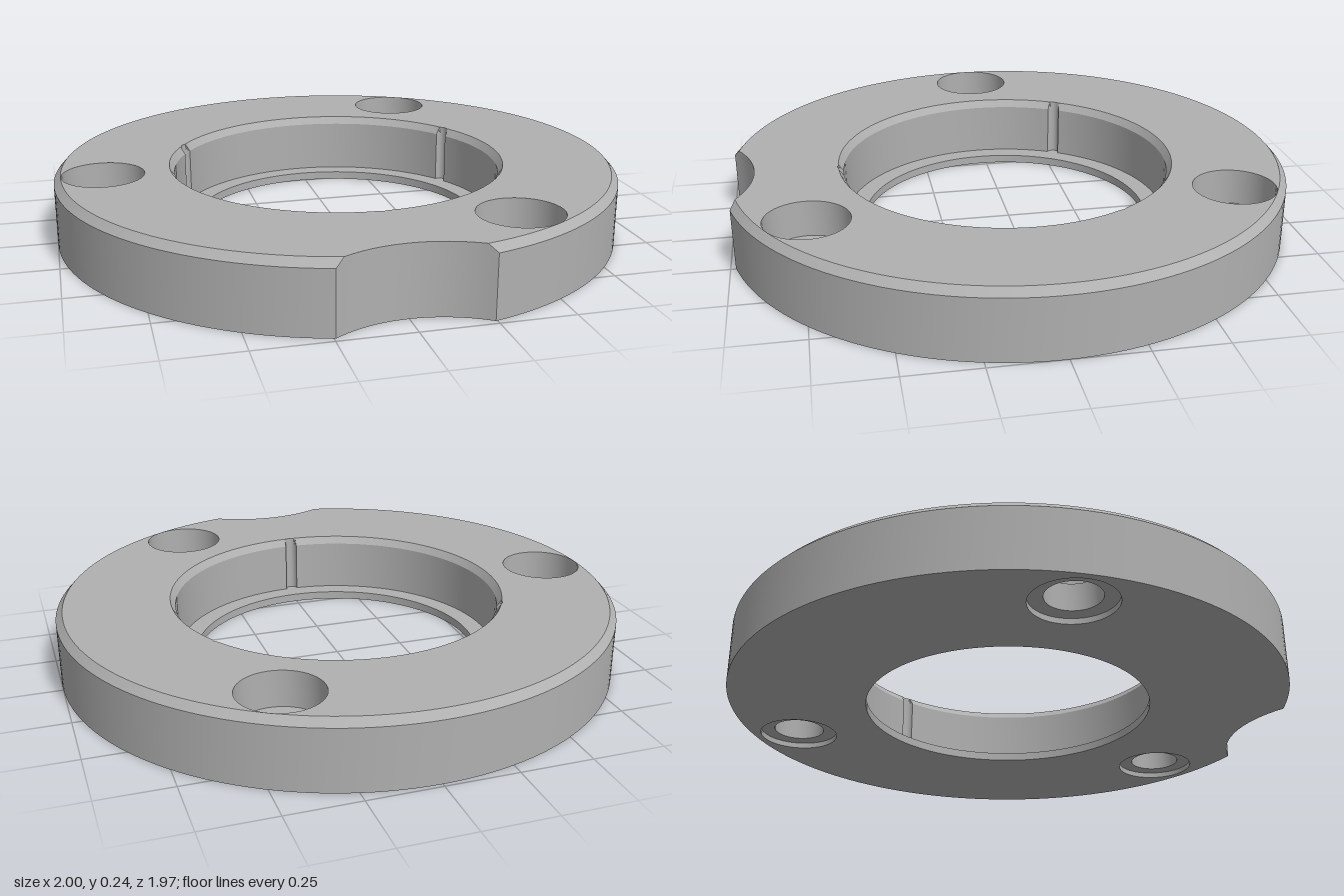
import * as THREE from 'three';
import { toCreasedNormals } from 'three/addons/utils/BufferGeometryUtils.js';

const CENTER_Z = 0.013, HEIGHT = 0.242, BEVEL_Y = 0.216, LIP_Y = 0.03;
const polar = (r, a, x = 0, z = 0) => [x + r * Math.sin(a), z + r * Math.cos(a)];

// All loops are [x, z] points running from +z towards +x
function circle(r, x = 0, z = 0, n = 48) {
  return Array.from({ length: n }, (_, i) => polar(r, (i / n) * Math.PI * 2, x, z));
}

// Disc edge with a shallow round bite at the front
function outerLoop(r) {
  const d = 1.321, bite = 0.428, nBite = 20, nArc = 140;
  const a = Math.acos((r * r + d * d - bite * bite) / (2 * r * d));
  const b = Math.asin((r * Math.sin(a)) / bite);
  const pts = [];
  for (let i = 0; i < nBite; i++) {
    const t = -b + (2 * b * i) / nBite;
    pts.push([bite * Math.sin(t), d - bite * Math.cos(t)]);
  }
  for (let i = 0; i < nArc; i++) pts.push(polar(r, a + ((Math.PI * 2 - 2 * a) * i) / nArc));
  return pts;
}

// Recess wall with three small half-round grooves
function recessLoop(r) {
  const d = 0.582, g = 0.022, half = Math.asin(g / d), pts = [];
  for (let k = 0; k < 3; k++) {
    const a = (k * Math.PI * 2) / 3;
    for (let i = 0; i <= 12; i++) {
      const phi = half * Math.sin((i / 12 - 0.5) * Math.PI);
      const depth = Math.sqrt(Math.max(0, g * g - (d * Math.sin(phi)) ** 2));
      pts.push(polar(Math.max(r, d * Math.cos(phi) + depth), a + phi));
    }
    for (let i = 1; i < 40; i++) {
      pts.push(polar(r, a + half + ((Math.PI * 2 / 3 - 2 * half) * i) / 40));
    }
  }
  return pts;
}

// Band between two loops of equal length
function wall(lower, y0, upper, y1, inward = false) {
  const n = lower.length, pos = [], index = [];
  lower.forEach(([x, z]) => pos.push(x, y0, z));
  upper.forEach(([x, z]) => pos.push(x, y1, z));
  for (let i = 0; i < n; i++) {
    const j = (i + 1) % n;
    if (inward) index.push(i, n + j, j, i, n + i, n + j);
    else index.push(i, j, n + j, i, n + j, n + i);
  }
  const geo = new THREE.BufferGeometry();
  geo.setAttribute('position', new THREE.Float32BufferAttribute(pos, 3));
  geo.setIndex(index);
  return toCreasedNormals(geo, Math.PI / 6);
}

// Flat face with holes, facing up or down
function face(outline, holes, y, down = false) {
  const toV = (loop) => loop.map(([x, z]) => new THREE.Vector2(x, -z));
  const shape = new THREE.Shape(toV(outline));
  shape.holes = holes.map((h) => new THREE.Path(toV(h)));
  let geo = new THREE.ShapeGeometry(shape).rotateX(-Math.PI / 2).translate(0, y, 0);
  if (down) {
    const idx = geo.index.array;
    for (let i = 0; i < idx.length; i += 3) [idx[i + 1], idx[i + 2]] = [idx[i + 2], idx[i + 1]];
    geo = geo.toNonIndexed();
    geo.computeVertexNormals();
  }
  return geo;
}

export function createModel() {
  const group = new THREE.Group();
  const metal = new THREE.MeshStandardMaterial({ color: 0xb0b0b0 });
  metal.name = 'plain grey';
  const add = (name, geo, parent = group) => {
    const mesh = new THREE.Mesh(geo, metal);
    mesh.name = name;
    parent.add(mesh);
  };

  const rim = outerLoop(1), rimTop = outerLoop(0.976);
  const recess = recessLoop(0.582), recessTop = recessLoop(0.6);
  const bore = circle(0.513, 0, 0, 120);
  const centers = [1, 3, 5].map((k) => polar(0.832, Math.PI / 6 + ((k - 1) * Math.PI) / 3));
  const wide = centers.map(([x, z]) => circle(0.143, x, z));
  const narrow = centers.map(([x, z]) => circle(0.092, x, z));

  // Ring body
  add('outerRim', wall(rim, 0, rim, BEVEL_Y));
  add('outerBevel', wall(rim, BEVEL_Y, rimTop, HEIGHT));
  add('topFace', face(rimTop, [recessTop, ...wide], HEIGHT));
  add('bottomFace', face(rim, [bore, ...wide], 0, true));

  // Central recess, its bottom lip and the bore
  add('recessBevel', wall(recess, BEVEL_Y, recessTop, HEIGHT, true));
  add('recessWall', wall(recess, LIP_Y, recess, BEVEL_Y, true));
  add('recessLip', face(recess, [bore], LIP_Y));
  add('boreWall', wall(bore, 0, bore, LIP_Y, true));

  // Screw holes: deep counterbore above, shallow one below
  const seatY = 0.115, underY = 0.02;
  centers.forEach((_, i) => {
    const hole = new THREE.Group();
    hole.name = 'screwHole' + (i + 1);
    add('counterbore', wall(wide[i], seatY, wide[i], HEIGHT, true), hole);
    add('screwSeat', face(wide[i], [narrow[i]], seatY), hole);
    add('throughHole', wall(narrow[i], underY, narrow[i], seatY, true), hole);
    add('underSeat', face(wide[i], [narrow[i]], underY, true), hole);
    add('underRecess', wall(wide[i], 0, wide[i], underY, true), hole);
    group.add(hole);
  });

  group.children.forEach((part) => { part.position.z = CENTER_Z; });
  return group;
}
